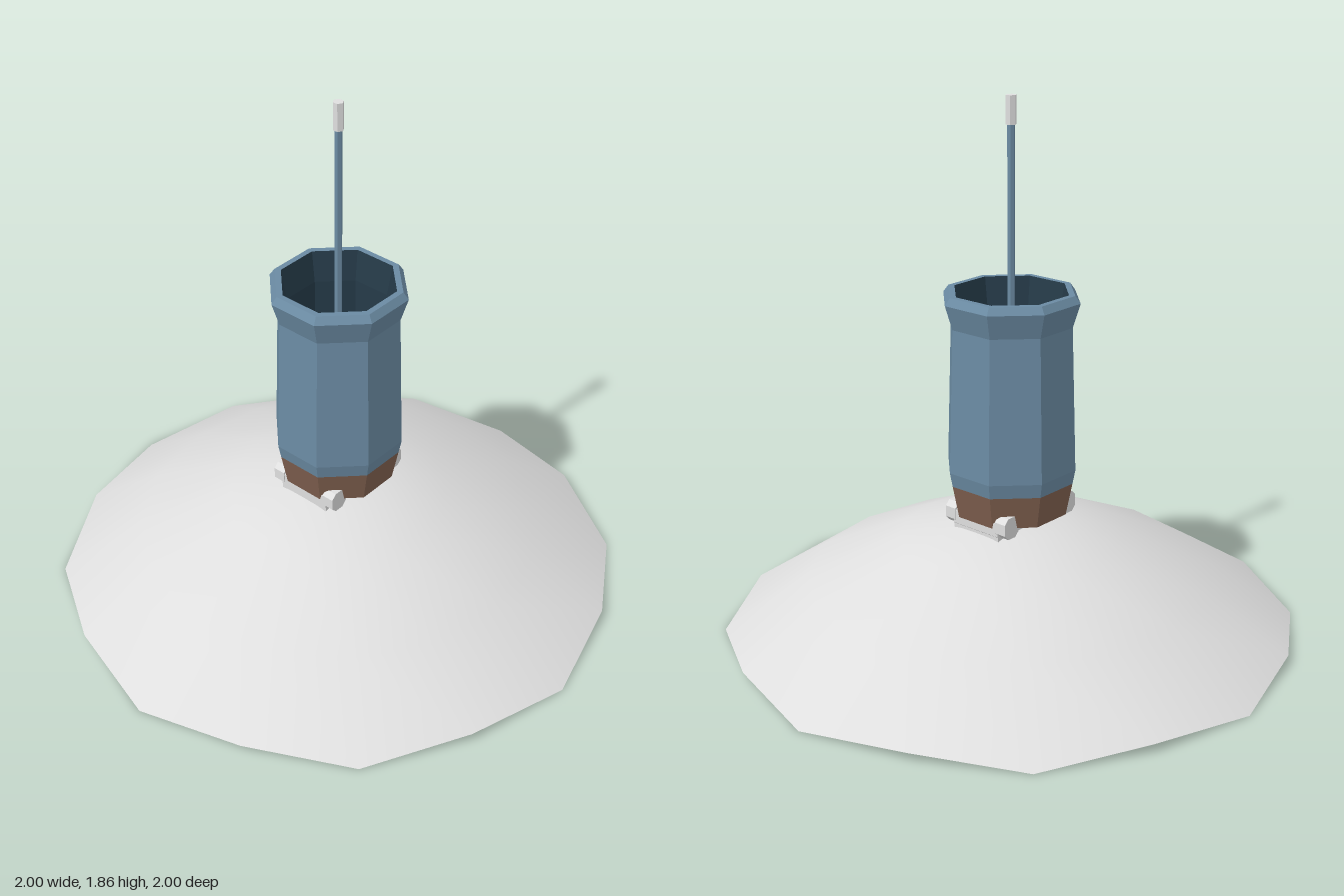
import * as THREE from 'three';
import { mergeVertices } from 'three/addons/utils/BufferGeometryUtils.js';

const material = (name, color, side = THREE.FrontSide) =>
  Object.assign(new THREE.MeshStandardMaterial({ color, side }), { name });

// Faceted copy of a geometry
function facet(geometry) {
  const flat = geometry.index ? geometry.toNonIndexed() : geometry;
  flat.computeVertexNormals();
  return flat;
}

// Eight-sided turned shape with its flats on the axes; points are [apothem, y]
function octagonal(points) {
  const profile = points.map(([a, y]) => new THREE.Vector2(a / Math.cos(Math.PI / 8), y));
  return facet(new THREE.LatheGeometry(profile, 8, Math.PI / 8));
}

// Block with chamfered corners in its x-y outline, extruded along z
function chamferedBlock(w, h, d, c) {
  const x = w / 2, y = h / 2;
  const shape = new THREE.Shape([
    [-x + c, -y], [x - c, -y], [x, -y + c], [x, y - c],
    [x - c, y], [-x + c, y], [-x, y - c], [-x, -y + c],
  ].map(([px, py]) => new THREE.Vector2(px, py)));
  return new THREE.ExtrudeGeometry(shape, { depth: d, bevelEnabled: false }).translate(0, 0, -d / 2);
}

// Shallow canopy whose rim lifts and draws in between the eight ribs
function canopyGeometry() {
  const profile = [[1, 0], [0.71, 0.2], [0.385, 0.345], [0.19, 0.397], [0, 0.41]];
  const g = new THREE.LatheGeometry(profile.map(([r, y]) => new THREE.Vector2(r, y)), 16);
  const p = g.attributes.position;
  for (let i = 0; i < p.count; i++) {
    const column = Math.floor(i / profile.length);
    if (i % profile.length === 0 && column % 2 === 1) {
      p.setXYZ(i, p.getX(i) * 0.98, 0.03, p.getZ(i) * 0.98);
    }
  }
  g.deleteAttribute('uv');
  g.deleteAttribute('normal');
  const smooth = mergeVertices(g);
  smooth.computeVertexNormals();
  return smooth;
}

export function createModel() {
  const model = new THREE.Group();
  model.name = 'canopyWithCanister';

  const white = material('canopyWhite', 0xdedede, THREE.DoubleSide);
  const pale = material('fittingWhite', 0xdedede);
  const blue = material('canisterBlue', 0x6b8ba3);
  const dark = material('innerDark', 0x253a48);
  const brown = material('collarBrown', 0x80604f);

  const add = (name, geometry, mat, x = 0, y = 0, z = 0, parent = model) => {
    const mesh = new THREE.Mesh(geometry, mat);
    mesh.name = name;
    mesh.position.set(x, y, z);
    parent.add(mesh);
    return mesh;
  };

  add('canopy', canopyGeometry(), white);

  // Canister: brown collar, blue shell with flared lip, dark inside
  add('collar', octagonal([[0, 0.435], [0.182, 0.435], [0.203, 0.55]]), brown);
  add('shell', octagonal([
    [0.203, 0.55], [0.212, 0.6], [0.198, 1.1], [0.222, 1.185], [0.205, 1.21], [0.185, 1.21],
  ]), blue);
  add('innerWall', octagonal([[0.185, 1.21], [0.167, 1.1], [0.167, 0.6], [0, 0.6]]), dark);

  // Rod with a pale tip
  add('rod', facet(new THREE.CylinderGeometry(0.013, 0.013, 1.16, 6)), blue, 0, 1.18, 0);
  add('rodTip', facet(new THREE.CylinderGeometry(0.018, 0.018, 0.095, 6)), pale, 0, 1.8075, 0);

  // Bracket: plate through the canopy, side bars and corner knobs
  const bracket = new THREE.Group();
  bracket.name = 'bracket';
  model.add(bracket);
  add('plate', new THREE.BoxGeometry(0.36, 0.06, 0.2), pale, 0, 0.405, 0, bracket);
  for (const sx of [-1, 1]) {
    add('sideBar', chamferedBlock(0.06, 0.07, 0.2, 0.012), pale, sx * 0.152, 0.433, 0, bracket);
    for (const sz of [-1, 1]) {
      add('cornerKnob', chamferedBlock(0.07, 0.075, 0.045, 0.018), pale,
        sx * 0.15, 0.443, sz * 0.112, bracket);
    }
  }

  // Hook hanging beneath the plate
  const path = new THREE.CatmullRomCurve3([
    [0.38, 0], [0.33, 0], [0.29, 0.025], [0.272, 0.075], [0.29, 0.125], [0.33, 0.145],
  ].map(([y, z]) => new THREE.Vector3(0, y, z)));
  add('hook', new THREE.TubeGeometry(path, 14, 0.02, 8), brown);
  const tip = add('hookTip', new THREE.CircleGeometry(0.02, 8), brown, 0, 0.33, 0.145);
  tip.lookAt(path.getPoint(1).add(path.getTangent(1)));

  return model;
}
